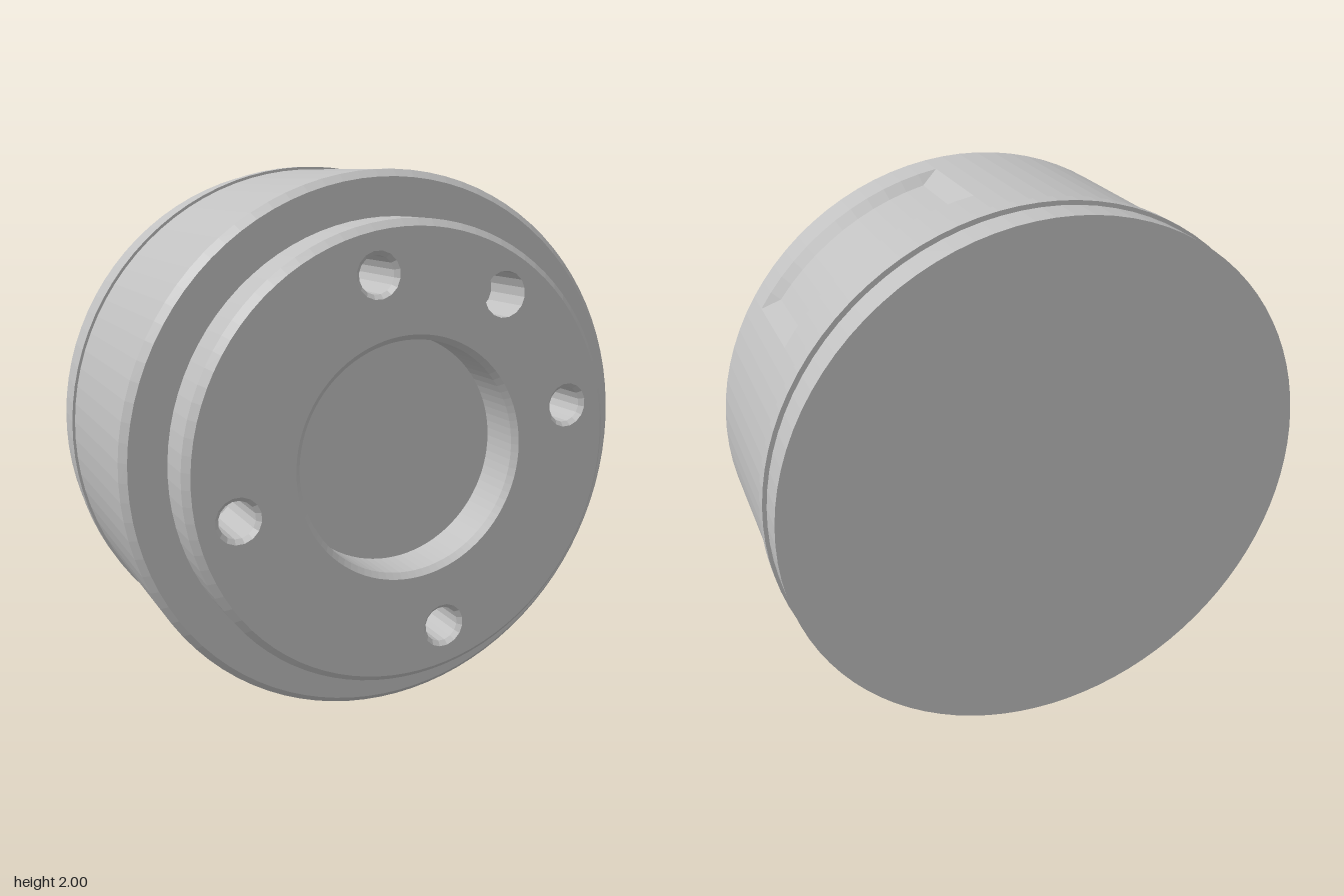
import * as THREE from 'three';

const DEG = Math.PI / 180;
const SEG = 90;            // 4 degree facets all round
const START = 171 * DEG;   // seam lies on one end of the pocket

export function createModel() {
  const model = new THREE.Group();
  const metal = new THREE.MeshStandardMaterial({ color: 0xc0c0c0, flatShading: true });
  metal.name = 'grey metal';

  function add(name, geometry, x = 0, y = 1, z = 0) {
    const mesh = new THREE.Mesh(geometry, metal);
    mesh.name = name;
    mesh.position.set(x, y, z);
    model.add(mesh);
  }

  // Profile points are [radius, z]; going from back to front faces outward
  function turned(points, segments = SEG, start = START, length = Math.PI * 2) {
    const profile = points.map(([r, z]) => new THREE.Vector2(r, z));
    return new THREE.LatheGeometry(profile, segments, start, length);
  }
  const alongZ = (geometry) => geometry.rotateX(Math.PI / 2);

  // Polygon whose corners meet those of a turned part
  function polygon(cx, cy, r, n) {
    return Array.from({ length: n }, (_, i) => {
      const a = START + (i / n) * Math.PI * 2;
      return new THREE.Vector2(cx + r * Math.sin(a), cy - r * Math.cos(a));
    });
  }

  // Back cover, with the thin groove ahead of it
  add('backCover', alongZ(turned([
    [0, -0.53], [0.987, -0.53], [0.987, -0.41], [0.965, -0.41], [0.965, -0.4],
  ])));
  add('sealRing', alongZ(turned([
    [0.965, -0.4], [1, -0.4], [1, -0.347], [0.99, -0.347],
  ])));

  // Body wall, left open where the pocket is cut
  const R = 0.99, pocketBack = -0.175, pocketFront = 0.2;
  add('bodyRear', alongZ(turned([[R, -0.347], [R, pocketBack]])));
  add('bodyMiddle', alongZ(turned([[R, pocketBack], [R, pocketFront]], 78, START, 312 * DEG)));
  add('bodyFront', alongZ(turned([
    [R, pocketFront], [R, 0.33], [0.965, 0.355], [0.83, 0.355],
  ])));

  // Shallow pocket: the end columns are drawn out to the body radius
  const floorR = 0.955;
  const pocket = turned([
    [R, pocketBack], [floorR, -0.15], [floorR, 0.172], [R, pocketFront],
  ], 12, 123 * DEG, 48 * DEG);
  const pos = pocket.attributes.position;
  for (let i = 0; i < pos.count; i++) {
    const column = Math.floor(i / 4);
    if (column !== 0 && column !== 12) continue;
    const k = R / Math.hypot(pos.getX(i), pos.getZ(i));
    const row = i % 4;
    const z = row < 2 ? pocketBack : pocketFront;
    pos.setXYZ(i, pos.getX(i) * k, z, pos.getZ(i) * k);
  }
  pocket.computeVertexNormals();
  add('sidePocket', alongZ(pocket));

  // Raised front boss and the central recess
  add('frontBoss', alongZ(turned([[0.83, 0.355], [0.83, 0.505], [0.805, 0.53]])));
  add('centreRecess', alongZ(turned([
    [0.44, 0.53], [0.42, 0.51], [0.42, 0.35], [0, 0.35],
  ])));

  // Four bolt holes a quarter turn apart, and one plain locating hole
  const holes = [];
  for (let i = 0; i < 4; i++) {
    const a = (12 + i * 90) * DEG;
    holes.push({ name: 'boltHole', x: 0.66 * Math.cos(a), y: 0.66 * Math.sin(a), r: 0.082,
      profile: [[0.082, 0], [0.066, -0.016], [0.066, -0.28], [0, -0.32]] });
  }
  holes.push({ name: 'locatingHole', x: 0.36, y: 0.56, r: 0.083,
    profile: [[0.083, 0], [0.083, -0.22], [0, -0.22]] });

  const face = new THREE.Shape(polygon(0, 0, 0.805, SEG));
  face.holes.push(new THREE.Path(polygon(0, 0, 0.44, SEG)));
  for (const h of holes) {
    face.holes.push(new THREE.Path(polygon(h.x, h.y, h.r, 16)));
    add(h.name, alongZ(turned(h.profile, 16)), h.x, 1 + h.y, 0.53);
  }
  add('frontFace', new THREE.ShapeGeometry(face), 0, 1, 0.53);

  return model;
}
